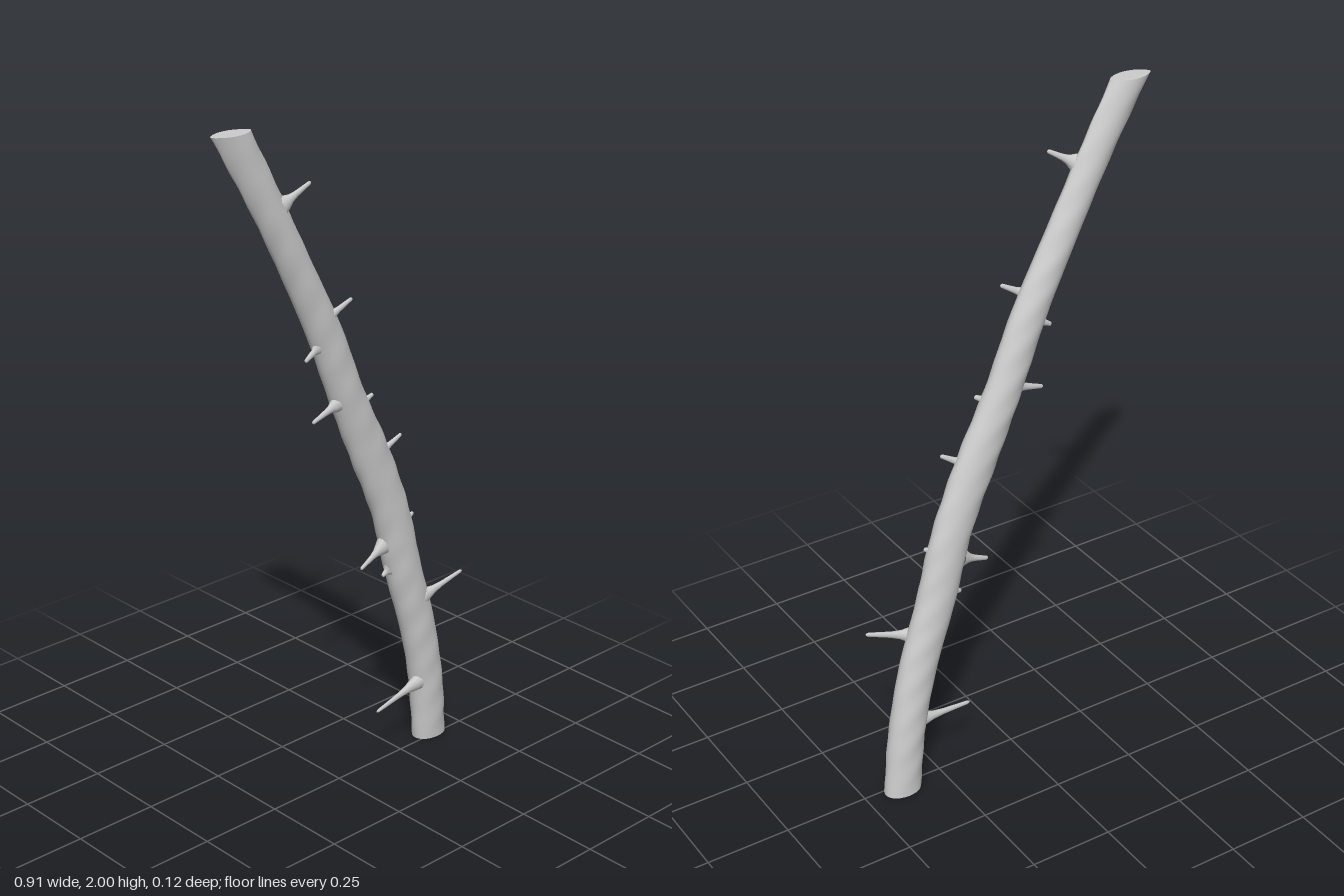
import * as THREE from 'three';

const material = new THREE.MeshStandardMaterial({ color: 0xcccccc });

// Horizontal sections of the stem: y, xMin, xMax, zMin, zMax
const sections = [
  [0.0, 0.33, 0.442, -0.06, 0.02],
  [0.2, 0.305, 0.418, -0.057, 0.031],
  [0.4, 0.255, 0.375, -0.05, 0.038],
  [0.6, 0.19, 0.312, -0.047, 0.042],
  [0.8, 0.13, 0.258, -0.041, 0.044],
  [1.0, 0.042, 0.176, -0.035, 0.047],
  [1.2, -0.045, 0.075, -0.03, 0.052],
  [1.4, -0.128, -0.012, -0.023, 0.057],
  [1.6, -0.228, -0.118, -0.014, 0.06],
  [1.8, -0.338, -0.222, -0.005, 0.062],
  [2.0, -0.455, -0.33, 0.0, 0.062],
];

// Twigs: base point, tip point, radius of the flared base
const twigs = [
  [[-0.235, 1.785, 0.038], [-0.15, 1.835, 0.055], 0.03],
  [[-0.085, 1.44, 0.035], [0.0, 1.487, 0.05], 0.03],
  [[-0.1, 1.365, 0.025], [-0.148, 1.338, 0.028], 0.022],
  [[-0.025, 1.185, 0.02], [-0.12, 1.155, 0.025], 0.026],
  [[0.06, 1.165, 0.025], [0.096, 1.185, 0.032], 0.024],
  [[0.13, 0.99, 0.018], [0.207, 1.036, 0.031], 0.03],
  [[0.24, 0.745, 0.01], [0.276, 0.77, 0.012], 0.024],
  [[0.16, 0.7, 0.01], [0.065, 0.66, 0.02], 0.03],
  [[0.19, 0.61, 0], [0.168, 0.598, 0], 0.022],
  [[0.305, 0.49, 0.018], [0.455, 0.537, 0.037], 0.03],
  [[0.325, 0.205, 0], [0.13, 0.18, 0.022], 0.03],
];

function createStem() {
  const centre = new THREE.CatmullRomCurve3(sections.map(([y, a, b, c, d]) =>
    new THREE.Vector3((a + b) / 2, y, (c + d) / 2)), false, 'catmullrom');
  const half = new THREE.CatmullRomCurve3(sections.map(([y, a, b, c, d]) =>
    new THREE.Vector3((b - a) / 2, y, (d - c) / 2)), false, 'catmullrom');
  const rings = 90, sides = 28, pos = [], index = [];

  for (let i = 0; i <= rings; i++) {
    const t = i / rings, c = centre.getPoint(t), h = half.getPoint(t);
    const sharp = 0.5 * t ** 4; // the upper cut is almond shaped
    for (let j = 0; j < sides; j++) {
      const a = (j / sides) * Math.PI * 2, s = Math.sin(a);
      // gentle bark lumps
      const lump = 1 + 0.02 * Math.sin(3 * a + t * 41) * Math.sin(t * 67 + a)
        + 0.012 * Math.sin(t * 120 + 2 * a);
      pos.push(c.x + h.x * Math.cos(a) * lump, c.y, c.z + h.z * s * Math.abs(s) ** sharp * lump);
    }
  }
  for (let i = 0; i < rings; i++) {
    for (let j = 0; j < sides; j++) {
      const k = (j + 1) % sides, p = i * sides, q = p + sides;
      index.push(p + j, q + j, p + k, p + k, q + j, q + k);
    }
  }
  // Flat cut ends with their own vertices
  for (const end of [0, 1]) {
    const c = centre.getPoint(end), start = pos.length / 3, ring = end * rings * sides;
    pos.push(c.x, c.y, c.z);
    for (let j = 0; j < sides; j++) pos.push(...pos.slice((ring + j) * 3, (ring + j) * 3 + 3));
    for (let j = 0; j < sides; j++) {
      const u = start + 1 + j, v = start + 1 + (j + 1) % sides;
      index.push(start, end ? v : u, end ? u : v);
    }
  }
  const geometry = new THREE.BufferGeometry();
  geometry.setAttribute('position', new THREE.Float32BufferAttribute(pos, 3));
  geometry.setIndex(index);
  geometry.computeVertexNormals();
  const stem = new THREE.Mesh(geometry, material);
  stem.name = 'stem';
  return stem;
}

function createTwig([from, to, radius]) {
  const base = new THREE.Vector3(...from), dir = new THREE.Vector3(...to).sub(base);
  const length = dir.length();
  // Flared foot, slender shaft, blunt tip
  const profile = [[radius, 0], [radius * 0.75, 0.15], [radius * 0.45, 0.32], [0.0095, 0.5],
    [0.0075, 0.75], [0.006, 0.96], [0.003, 1], [0, 1]]
    .map(([r, v]) => new THREE.Vector2(r, v * length));
  const twig = new THREE.Mesh(new THREE.LatheGeometry(profile, 10), material);
  twig.scale.z = 0.7;
  twig.position.copy(base);
  twig.quaternion.setFromUnitVectors(new THREE.Vector3(0, 1, 0), dir.normalize());
  twig.name = 'twig';
  return twig;
}

export function createModel() {
  const group = new THREE.Group();
  group.name = 'branch';
  group.add(createStem(), ...twigs.map(createTwig));
  return group;
}
